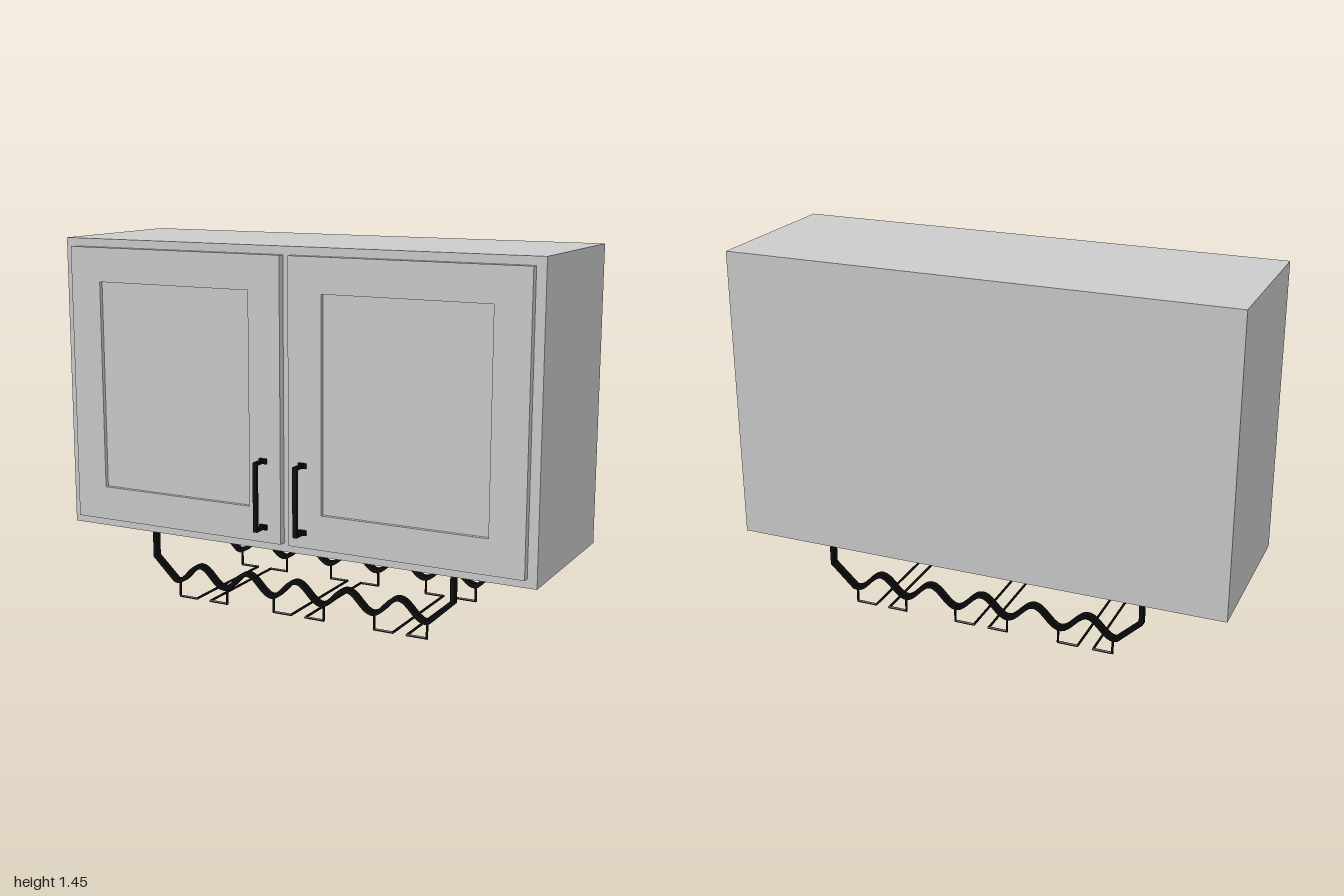
import * as THREE from 'three';

const grey = new THREE.MeshStandardMaterial({ color: 0xcccccc });
const black = new THREE.MeshStandardMaterial({ color: 0x0a0a0a });

function add(parent, name, geometry, material) {
  const mesh = new THREE.Mesh(geometry, material);
  mesh.name = name;
  parent.add(mesh);
  return mesh;
}

// Box given by its lower and upper corners
function block(parent, name, [x0, y0, z0], [x1, y1, z1], material) {
  const mesh = add(parent, name, new THREE.BoxGeometry(x1 - x0, y1 - y0, z1 - z0), material);
  mesh.position.set((x0 + x1) / 2, (y0 + y1) / 2, (z0 + z1) / 2);
  return mesh;
}

const rect = (Type, x0, y0, x1, y1) => new Type([[x0, y0], [x1, y0], [x1, y1], [x0, y1]].map(p => new THREE.Vector2(...p)));

// Door frame around a recessed panel
function makeDoor(name, x0, x1, px0, px1) {
  const door = new THREE.Group();
  door.name = name;
  const shape = rect(THREE.Shape, x0, 0.32, x1, 1.42);
  shape.holes.push(rect(THREE.Path, px0, 0.455, px1, 1.285));
  const frame = add(door, 'doorFrame', new THREE.ExtrudeGeometry(shape, { depth: 0.029, bevelEnabled: false }), grey);
  frame.position.z = 0.285;
  block(door, 'doorPanel', [px0, 0.455, 0.285], [px1, 1.285, 0.298], grey);
  return door;
}

// Bar pull with two posts and square feet
function makeHandle(name, x) {
  const handle = new THREE.Group();
  handle.name = name;
  block(handle, 'handleBar', [x - 0.009, 0.375, 0.37], [x + 0.009, 0.646, 0.381], black);
  for (const y of [0.381, 0.64]) {
    block(handle, 'handlePost', [x - 0.009, y - 0.006, 0.314], [x + 0.009, y + 0.006, 0.372], black);
    block(handle, 'handleFoot', [x - 0.016, y - 0.01, 0.314], [x + 0.016, y + 0.01, 0.324], black);
  }
  return handle;
}

// Centre line of a rail: hanger, slope, wave, slope, hanger
function railPoints() {
  const pts = [[-0.655, 0.285], [-0.655, 0.162]];
  const steps = 100;
  for (let i = 0; i <= steps; i++) {
    const t = i / steps;
    pts.push([-0.56 + 1.12 * t, 0.108 - 0.037 * Math.cos((-0.545 + 0.545 - 0.015 + 1.12 * t) / 0.2195 * Math.PI * 2 + 0.15)]);
  }
  pts.push([0.655, 0.162], [0.655, 0.285]);
  return pts.map(p => new THREE.Vector2(...p));
}

// Flat strip bent along the centre line
function railGeometry(halfThick, depth) {
  const pts = railPoints();
  const side = s => pts.map((p, i) => {
    const a = pts[Math.max(i - 1, 0)], b = pts[Math.min(i + 1, pts.length - 1)];
    const d = b.clone().sub(a).normalize();
    return new THREE.Vector2(p.x - d.y * s, p.y + d.x * s);
  });
  const outline = [...side(-halfThick), ...side(halfThick).reverse()];
  return new THREE.ExtrudeGeometry(new THREE.Shape(outline), { depth, bevelEnabled: false }).translate(0, 0, -depth / 2);
}

// Thin rod running through a list of points
function makeWire(name, points, radius) {
  const wire = new THREE.Group();
  wire.name = name;
  const v = points.map(p => new THREE.Vector3(...p));
  for (let i = 0; i < v.length - 1; i++) {
    const dir = v[i + 1].clone().sub(v[i]);
    const rod = add(wire, 'wireRod', new THREE.CylinderGeometry(radius, radius, dir.length(), 8), black);
    rod.position.copy(v[i]).add(v[i + 1]).multiplyScalar(0.5);
    rod.quaternion.setFromUnitVectors(new THREE.Vector3(0, 1, 0), dir.normalize());
    if (i > 0) add(wire, 'wireCorner', new THREE.SphereGeometry(radius, 8, 6), black).position.copy(v[i]);
  }
  return wire;
}

export function createModel() {
  const model = new THREE.Group();
  model.name = 'wallCabinet';

  block(model, 'cabinetBody', [-1, 0.285, -0.38], [1, 1.452, 0.285], grey);
  model.add(makeDoor('rightDoor', -0.96, -0.015, -0.825, -0.15));
  model.add(makeDoor('leftDoor', 0.02, 0.963, 0.158, 0.825));
  model.add(makeHandle('rightHandle', -0.088), makeHandle('leftHandle', 0.082));

  // Glass rack hung under the cabinet
  const rack = new THREE.Group();
  rack.name = 'glassRack';
  model.add(rack);
  const front = 0.209, back = -0.285;
  for (const x of [-0.652, 0.652]) {
    block(rack, 'mountingPlate', [x - 0.025, 0.28, back - 0.023], [x + 0.025, 0.286, front + 0.023], black);
  }
  const rail = railGeometry(0.009, 0.028);
  for (const z of [front, back]) add(rack, 'waveRail', rail, black).position.z = z;

  // Paired wire hangers, each pair turned inward
  for (const [x, inner] of [[-0.543, -0.465], [-0.321, -0.401], [-0.107, -0.029], [0.115, 0.035], [0.332, 0.41], [0.551, 0.469]]) {
    const y = 0.005;
    rack.add(makeWire('hangerWire', [
      [x, 0.075, front], [x, y, front], [inner, y, front],
      [inner, y, back], [x, y, back], [x, 0.075, back],
    ], 0.005));
  }
  return model;
}
